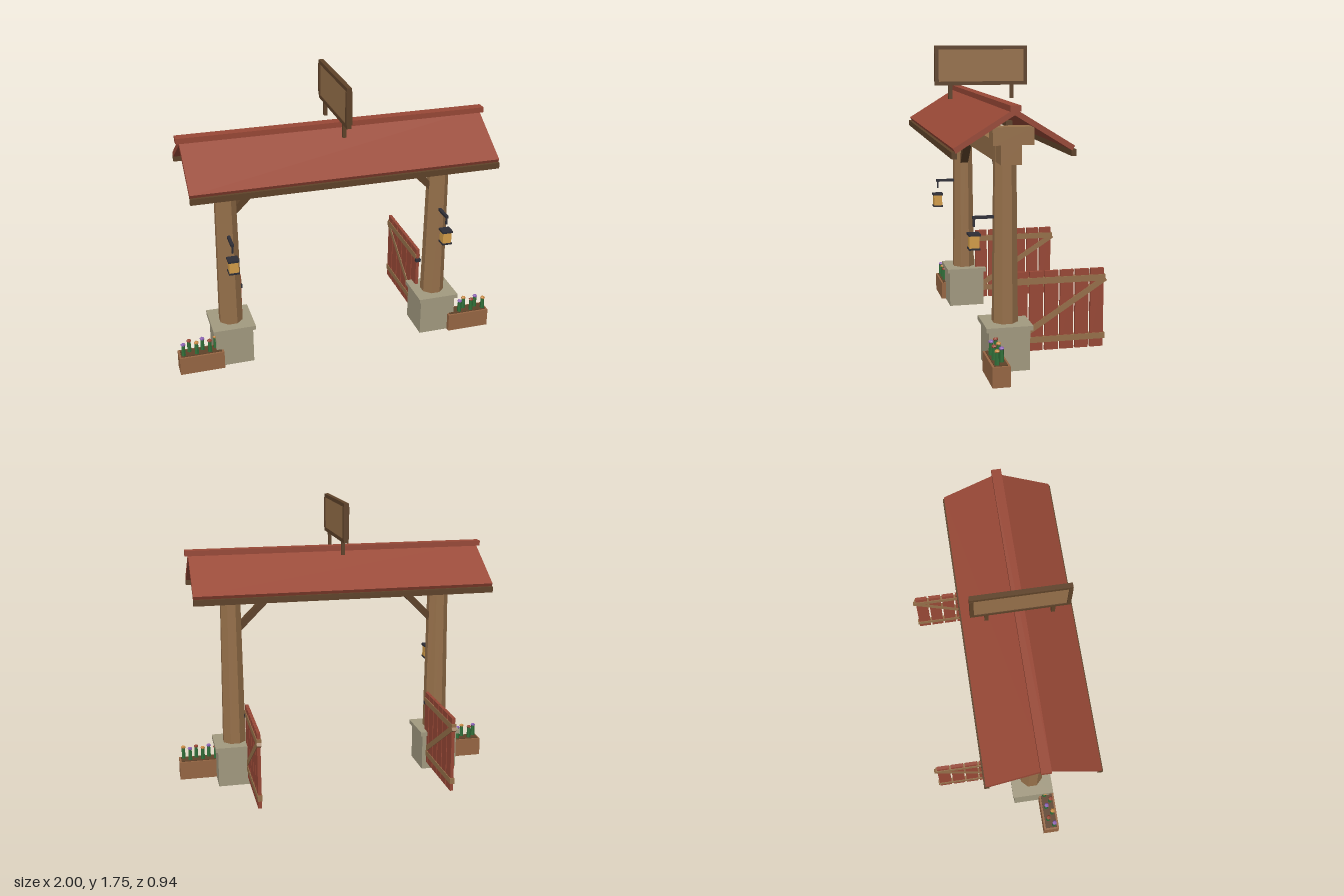
import * as THREE from 'three';

const mat = (name, color) => {
  const m = new THREE.MeshStandardMaterial({ color, flatShading: true });
  m.name = name;
  return m;
};

export function createModel() {
  const wood = mat('wood', 0x96704a);
  const darkWood = mat('dark wood', 0x5e4229);
  const planterWood = mat('planter wood', 0x966643);
  const red = mat('red paint', 0x984836);
  const stone = mat('stone', 0xa29a80);
  const metal = mat('dark metal', 0x2e2e36);
  const amber = mat('amber glass', 0xd29c48);
  const green = mat('leaf green', 0x2f6e38);
  const purple = mat('purple petals', 0x8c62b4);
  const orange = mat('orange petals', 0xc98a45);

  const root = new THREE.Group();
  root.name = 'gateway';
  const Z = 0.14; // depth of the post line and ridge

  const add = (parent, name, geo, material, x, y, z) => {
    const m = new THREE.Mesh(geo, material);
    m.name = name;
    m.position.set(x, y, z);
    parent.add(m);
    return m;
  };
  // Box given by its extents along each axis
  const box = (parent, name, material, [x0, x1], [y0, y1], [z0, z1]) =>
    add(parent, name, new THREE.BoxGeometry(x1 - x0, y1 - y0, z1 - z0), material,
      (x0 + x1) / 2, (y0 + y1) / 2, (z0 + z1) / 2);
  const group = (name) => {
    const g = new THREE.Group();
    g.name = name;
    root.add(g);
    return g;
  };
  const span = (c, half) => [c - half, c + half];

  // Everything that stands on each side; s = +1 is the left side
  for (const s of [1, -1]) {
    const side = s > 0 ? 'left' : 'right';
    const px = s * 0.658;
    const sx = (a, b) => (s > 0 ? [a, b] : [-b, -a]);

    // Stone footing and tapered eight-sided post
    const support = group(side + 'Support');
    box(support, 'footing', stone, span(px, 0.114), [0, 0.23], [0.022, 0.252]);
    box(support, 'footingCap', stone, span(px, 0.129), [0.23, 0.256], [0.007, 0.268]);
    const post = new THREE.CylinderGeometry(0.063, 0.074, 1.005, 8);
    post.rotateY(Math.PI / 8);
    add(support, 'post', post, wood, px, 0.7575, Z);

    // Diagonal brace under the beam
    const brace = add(support, 'brace', new THREE.BoxGeometry(0.27, 0.04, 0.05), darkWood,
      s * 0.52, 1.075, Z);
    brace.rotation.z = -s * Math.PI / 4;

    // Cross block on the end of the beam
    box(support, 'crossBlock', wood, sx(0.775, 0.87), [1.26, 1.355], [0.03, 0.25]);

    // Lantern hung on a bracket
    const lantern = group(side + 'Lantern');
    box(lantern, 'bracketArm', metal, span(px, 0.009), [0.838, 0.854], [0.19, 0.32]);
    box(lantern, 'hook', metal, span(px, 0.005), [0.795, 0.84], [0.307, 0.317]);
    box(lantern, 'lanternCap', metal, span(px, 0.033), [0.748, 0.76], span(0.313, 0.033));
    box(lantern, 'lanternGlass', amber, span(px, 0.027), [0.68, 0.748], span(0.313, 0.027));
    box(lantern, 'lanternBase', metal, span(px, 0.031), [0.67, 0.68], span(0.313, 0.031));

    // Open gate leaf
    const gate = group(side + 'Gate');
    const gx = s * 0.582;
    for (let i = 0; i < 6; i++) {
      box(gate, 'plank', red, span(gx, 0.01), [0.045, 0.508], span(0.032 - i * 0.0895, 0.039));
    }
    box(gate, 'upperRail', wood, span(gx, 0.014), [0.435, 0.472], [-0.463, 0.07]);
    box(gate, 'lowerRail', wood, span(gx, 0.014), [0.092, 0.127], [-0.463, 0.07]);
    const dz = 0.485, dy = 0.31;
    const diagonal = add(gate, 'diagonal', new THREE.BoxGeometry(0.027, 0.034, Math.hypot(dz, dy)),
      wood, gx, 0.295, -0.222);
    diagonal.rotation.x = Math.atan2(dy, dz);
    box(gate, 'hinge', metal, span(gx, 0.016), [0.425, 0.445], [0.062, 0.085]);

    // Planter with soil and a zigzag row of flowers
    const planter = group(side + 'Planter');
    box(planter, 'planterBox', planterWood, sx(0.73, 1), [0, 0.114], [0.183, 0.28]);
    box(planter, 'soil', darkWood, sx(0.742, 0.988), [0.112, 0.118], [0.195, 0.268]);
    const petals = [red, orange, purple];
    for (let i = 0; i < 6; i++) {
      const fx = s * (0.772 + i * 0.04);
      const fz = i % 2 ? 0.25 : 0.217;
      add(planter, 'stem', new THREE.CylinderGeometry(0.011, 0.014, 0.08, 6), green, fx, 0.152, fz);
      const head = new THREE.IcosahedronGeometry(0.016, 0);
      head.scale(1, 0.7, 1);
      add(planter, 'flowerHead', head, petals[(i * 2 + (s > 0 ? 0 : 1)) % 3], fx, 0.192, fz);
    }
  }

  // Main beam and the struts that carry the ridge
  const frame = group('roofFrame');
  box(frame, 'mainBeam', wood, [-0.823, 0.823], [1.15, 1.26], span(Z, 0.056));
  for (let i = 0; i < 6; i++) {
    box(frame, 'strut', darkWood, span(-0.75 + i * 0.3, 0.018), [1.26, 1.378], span(Z, 0.018));
  }

  // Roof slopes, eave boards and ridge cap
  const roof = group('roof');
  const slope = new THREE.Shape([
    [0, 1.452], [0.322, 1.254], [0.308, 1.228], [0, 1.418],
  ].map(([u, y]) => new THREE.Vector2(u, y)));
  for (const d of [1, -1]) {
    const g = new THREE.ExtrudeGeometry(slope, { depth: 1.8, bevelEnabled: false });
    g.translate(0, 0, -0.9);
    const panel = add(roof, d > 0 ? 'frontSlope' : 'backSlope', g, red, 0, 0, Z);
    panel.rotation.y = -d * Math.PI / 2;
    box(roof, 'eaveBoard', darkWood, [-0.9, 0.9], [1.2, 1.235], span(Z + d * 0.316, 0.014));
  }
  box(roof, 'ridgeCap', red, [-0.92, 0.92], [1.438, 1.47], span(Z, 0.029));

  // Blank board above the ridge
  const sign = group('signBoard');
  const zs = [-0.14, 0.42], ys = [1.522, 1.755], t = 0.022;
  box(sign, 'panel', wood, span(0, 0.01), [ys[0] + t, ys[1] - t], [zs[0] + t, zs[1] - t]);
  for (const y of [ys[0], ys[1] - t]) box(sign, 'frameRail', darkWood, span(0, 0.014), [y, y + t], zs);
  for (const z of [zs[0], zs[1] - t]) {
    box(sign, 'frameStile', darkWood, span(0, 0.017), [ys[0] + t, ys[1] - t], [z, z + t]);
  }
  for (const z of [0.327, -0.048]) {
    box(sign, 'leg', darkWood, span(0, 0.01), [1.44, 1.524], span(z, 0.011));
  }

  return root;
}
